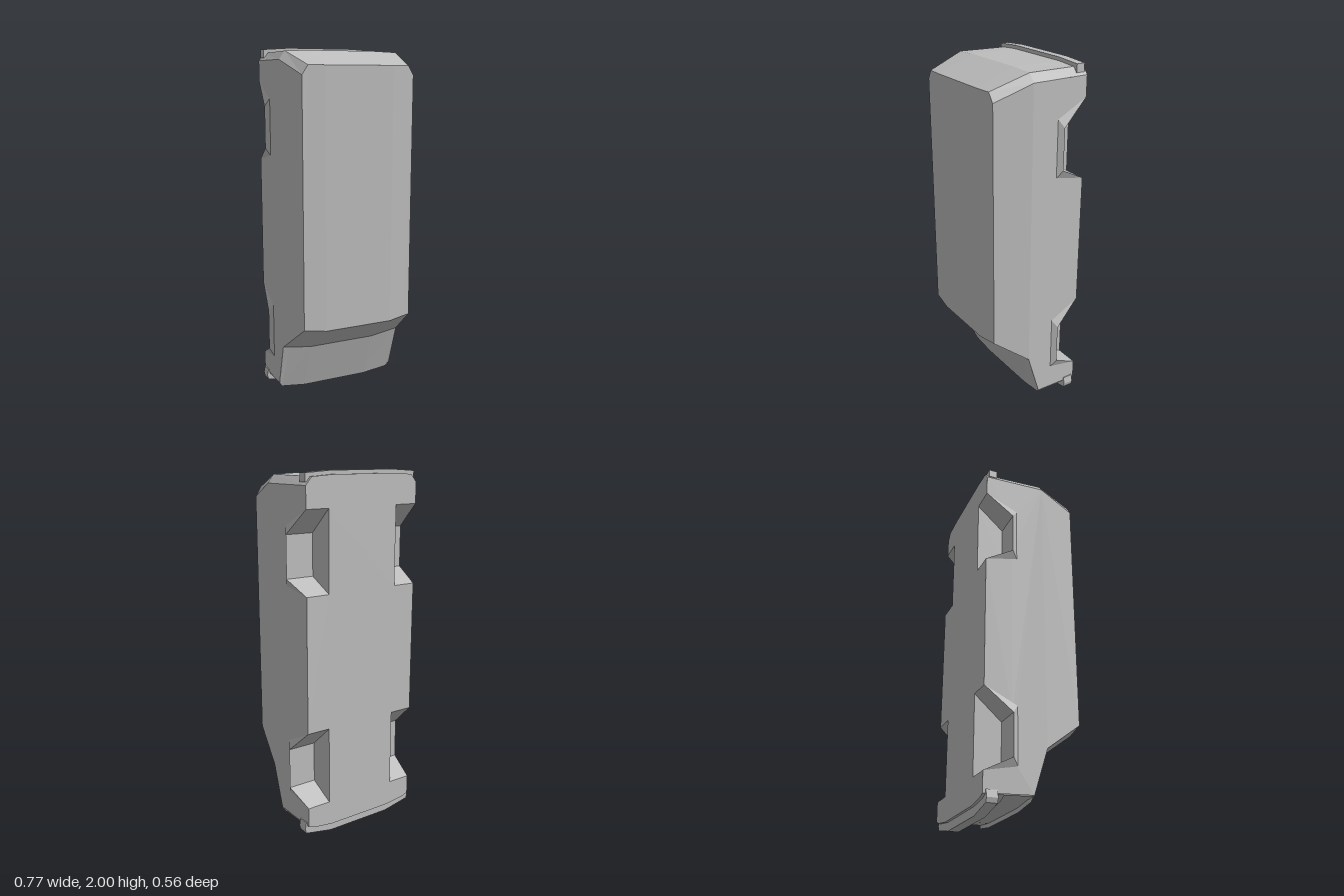
import * as THREE from 'three';

const BASE = -0.28; // z of the flat underside
const ARCHES = [0, 1.185]; // shift of each wheel arch along y
const sideX = z => (z > 0.06 ? 0.37 - (z - 0.06) * 0.202 : 0.37 - (0.06 - z) * 0.035);

// Flat-faced surface through rows of points [x, y, z]
function grid(rows) {
  const out = [];
  for (let r = 0; r + 1 < rows.length; r++) {
    for (let c = 0; c + 1 < rows[r].length; c++) {
      const a = rows[r][c], b = rows[r][c + 1], d = rows[r + 1][c + 1], e = rows[r + 1][c];
      out.push(...a, ...b, ...d, ...a, ...d, ...e);
    }
  }
  const g = new THREE.BufferGeometry();
  g.setAttribute('position', new THREE.Float32BufferAttribute(out, 3));
  g.computeVertexNormals();
  return g;
}

const shapeOf = pts => new THREE.Shape(pts.map(p => new THREE.Vector2(...p)));

// Flat polygon whose points are mapped into space by a rule
function panel(pts, place) {
  const g = new THREE.ShapeGeometry(shapeOf(pts)).toNonIndexed();
  const p = g.attributes.position;
  for (let i = 0; i < p.count; i++) p.setXYZ(i, ...place(p.getX(i), p.getY(i)));
  g.computeVertexNormals();
  return g;
}

// Polygon given as [z, y], facing +x
const sidePanel = (pts, xOf) => panel(pts.map(([z, y]) => [-z, y]), (u, v) => [xOf(-u), v, -u]);

// Copy reflected to the other side, with the corner order reversed
function mirrorX(geo) {
  const g = geo.clone(), p = g.attributes.position;
  for (let i = 0; i < p.count; i += 3) {
    const t = [0, 2, 1].map(k => [-geo.attributes.position.getX(i + k),
      geo.attributes.position.getY(i + k), geo.attributes.position.getZ(i + k)]);
    t.forEach((q, k) => p.setXYZ(i + k, ...q));
  }
  g.computeVertexNormals();
  return g;
}

export function createModel() {
  const group = new THREE.Group();
  const grey = new THREE.MeshStandardMaterial({ color: 0xbdbdbd, side: THREE.DoubleSide, flatShading: true });
  grey.name = 'body grey';
  const add = (name, geo) => {
    const m = new THREE.Mesh(geo, grey);
    m.name = name;
    group.add(m);
  };
  const addPair = (name, geo) => {
    add('left' + name, geo);
    add('right' + name, mirrorX(geo));
  };

  // Shell from the lower nose over the roof to the tail; half rows of [x, y, z]
  const halfRows = [
    [[0.2, 0.05, BASE], [0.32, 0.065, BASE], [0.358, 0.08, BASE]],
    [[0.2, 0.045, -0.17], [0.32, 0.06, -0.17], [0.362, 0.08, -0.17]],
    [[0.2, 0.062, -0.17], [0.32, 0.075, -0.17], [0.362, 0.08, -0.17]],
    [[0.2, 0.062, -0.035], [0.325, 0.075, -0.035], [0.366, 0.085, -0.02]],
    [[0.2, 0.04, -0.03], [0.35, 0.06, -0.027], [0.367, 0.09, -0.015]],
    [[0.2, 0.31, 0.06], [0.335, 0.33, 0.06], [0.37, 0.335, 0.06]],
    [[0.2, 0.475, 0.277], [0.295, 0.49, 0.27], [0.328, 0.495, 0.268]],
    [[0.2, 1.9, 0.277], [0.295, 1.9, 0.27], [0.328, 1.85, 0.268]],
    [[0.2, 1.98, 0.06], [0.335, 1.975, 0.06], [0.37, 1.93, 0.06]],
    [[0.2, 1.98, BASE], [0.322, 1.972, BASE], [0.358, 1.93, BASE]],
  ];
  add('shell', grid(halfRows.map(h => [...h.map(([x, y, z]) => [-x, y, z]).reverse(), ...h])));

  // Wheel arch opening [z, y] and the outer ring of its flare
  const opening = s => [[BASE, 0.19 + s], [-0.13, 0.265 + s], [-0.13, 0.495 + s], [BASE, 0.63 + s]];
  const ring = s => [[BASE, 0.19 + s], [-0.1, 0.225 + s], [-0.1, 0.54 + s], [BASE, 0.63 + s]];
  const lipX = z => (z === BASE ? 0.358 : 0.384);

  // Sides, with the arches cut from the lower half
  const arches = ARCHES.flatMap(opening);
  addPair('LowerSide', sidePanel([[0.06, 0.335], [-0.015, 0.09], [BASE, 0.08], ...arches,
    [BASE, 1.93], [0.06, 1.93]], sideX));
  addPair('UpperSide', sidePanel([[0.268, 0.495], [0.06, 0.335], [0.06, 1.93], [0.268, 1.85]], sideX));

  // Wheel wells and flares
  const wellX = 0.22;
  ARCHES.forEach((s, i) => {
    const end = ['Front', 'Rear'][i];
    addPair(end + 'WheelWell', grid(opening(s).map(([z, y]) => [[lipX(z), y, z], [wellX, y, z]])));
    addPair(end + 'WellInnerWall', sidePanel(opening(s), () => wellX));
    addPair(end + 'ArchFlare', grid(ring(s).map(([z, y], k) => {
      const [lz, ly] = opening(s)[k];
      return [[sideX(z), y, z], [lipX(lz), ly, lz]];
    })));
  });

  // Underside with notched edges
  const half = [[0.2, 0.05], [0.32, 0.065], [0.358, 0.08]];
  for (const s of ARCHES) {
    half.push([0.358, 0.19 + s], [wellX, 0.19 + s], [wellX, 0.63 + s], [0.358, 0.63 + s]);
  }
  half.push([0.358, 1.93], [0.322, 1.972], [0.2, 1.98]);
  const outline = [...half, ...half.map(([x, y]) => [-x, y]).reverse()];
  add('underside', panel(outline, (u, v) => [-u, v, BASE]));

  // Wrap-around bumpers
  const bumper = (name, pts, depth) => {
    const geo = new THREE.ExtrudeGeometry(
      shapeOf([...pts, ...pts.map(([x, y]) => [-x, y]).reverse()]), { depth, bevelEnabled: false });
    add(name, geo.translate(0, 0, -0.265));
  };
  bumper('frontBumper', [[0.2, 0.05], [0.34, 0.075], [0.34, 0.1], [0.365, 0.1], [0.372, 0.06],
    [0.365, 0.035], [0.2, 0.003]], 0.06);
  bumper('rearBumper', [[0.2, 1.965], [0.315, 1.955], [0.315, 1.945], [0.352, 1.945], [0.352, 1.99],
    [0.2, 2.0]], 0.048);

  return group;
}
